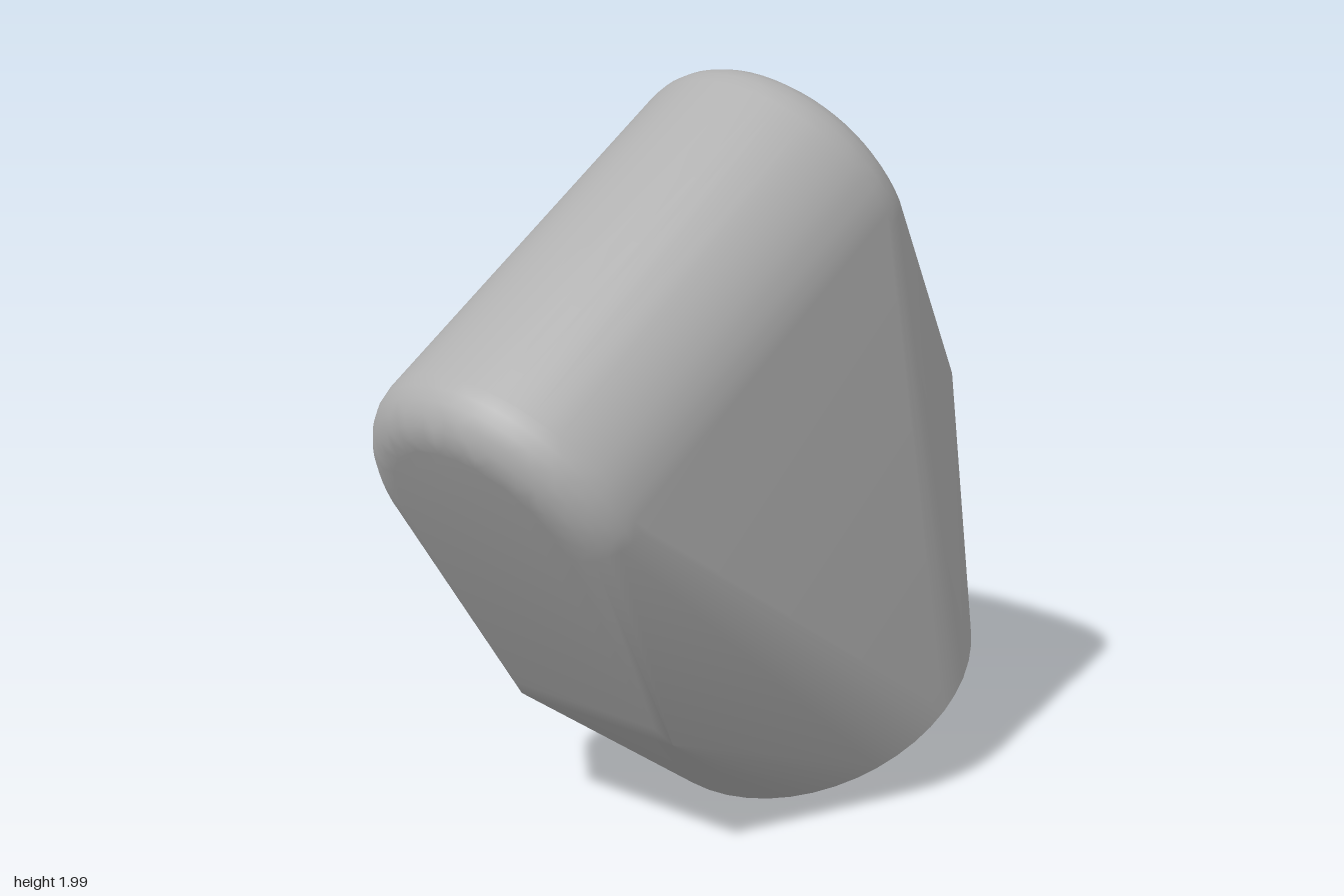
import * as THREE from 'three';
import { ConvexGeometry } from 'three/addons/geometries/ConvexGeometry.js';
import { toCreasedNormals } from 'three/addons/utils/BufferGeometryUtils.js';

// Tilted frame of the body: u runs backwards along the ridge, v rises towards it
const TILT = THREE.MathUtils.degToRad(31.5);
const C = Math.cos(TILT), S = Math.sin(TILT);
const place = (x, u, v) => new THREE.Vector3(x, u * S + v * C, -u * C + v * S);

// Ring of points in a plane tilted like the foot
function ring(radius, y, z, count, tilt) {
  return Array.from({ length: count }, (_, i) => {
    const a = (i / count) * Math.PI * 2, d = Math.cos(a) * radius;
    return new THREE.Vector3(Math.sin(a) * radius, y + d * Math.sin(tilt), z - d * Math.cos(tilt));
  });
}

export function createModel() {
  const grey = new THREE.MeshStandardMaterial({ color: 0xb0b0b0 });
  grey.name = 'grey';
  const points = [];

  // Rounded barrel top: half circles whose rims follow a fillet at each end
  const R = 0.415, axisV = 1.215, fillet = 0.13, steps = 6, arc = 32;
  for (const [end, dir] of [[-0.147, 1], [1.243, -1]]) {
    for (let s = 0; s <= steps; s++) {
      const t = (s / steps) * Math.PI / 2;
      const r = R - fillet * (1 - Math.sin(t));
      const u = end + dir * fillet * (1 - Math.cos(t));
      for (let i = 0; i <= arc; i++) {
        const a = (i / arc) * Math.PI;
        points.push(place(r * Math.cos(a), u, axisV + r * Math.sin(a)));
      }
    }
  }

  // Lower edges of the flat end faces, softened: half width, u, v
  const edges = [
    [0.25, -0.147, 0.57], [0.27, -0.135, 0.5],
    [0.26, 1.258, 0.62], [0.28, 1.246, 0.53],
  ];
  for (const [w, u, v] of edges) {
    for (const x of [-w, -w / 2, 0, w / 2, w]) points.push(place(x, u, v));
  }

  // Round foot with a shallow cone ending in a small flat disc
  const footTilt = THREE.MathUtils.degToRad(29);
  points.push(...ring(0.486, 0.235, -0.505, 48, footTilt));
  points.push(...ring(0.2, 0.2, -0.524, 32, footTilt));

  const body = new THREE.Mesh(toCreasedNormals(new ConvexGeometry(points), 0.45), grey);
  body.name = 'body';

  const model = new THREE.Group();
  model.name = 'roundedBlock';
  model.add(body);
  return model;
}
